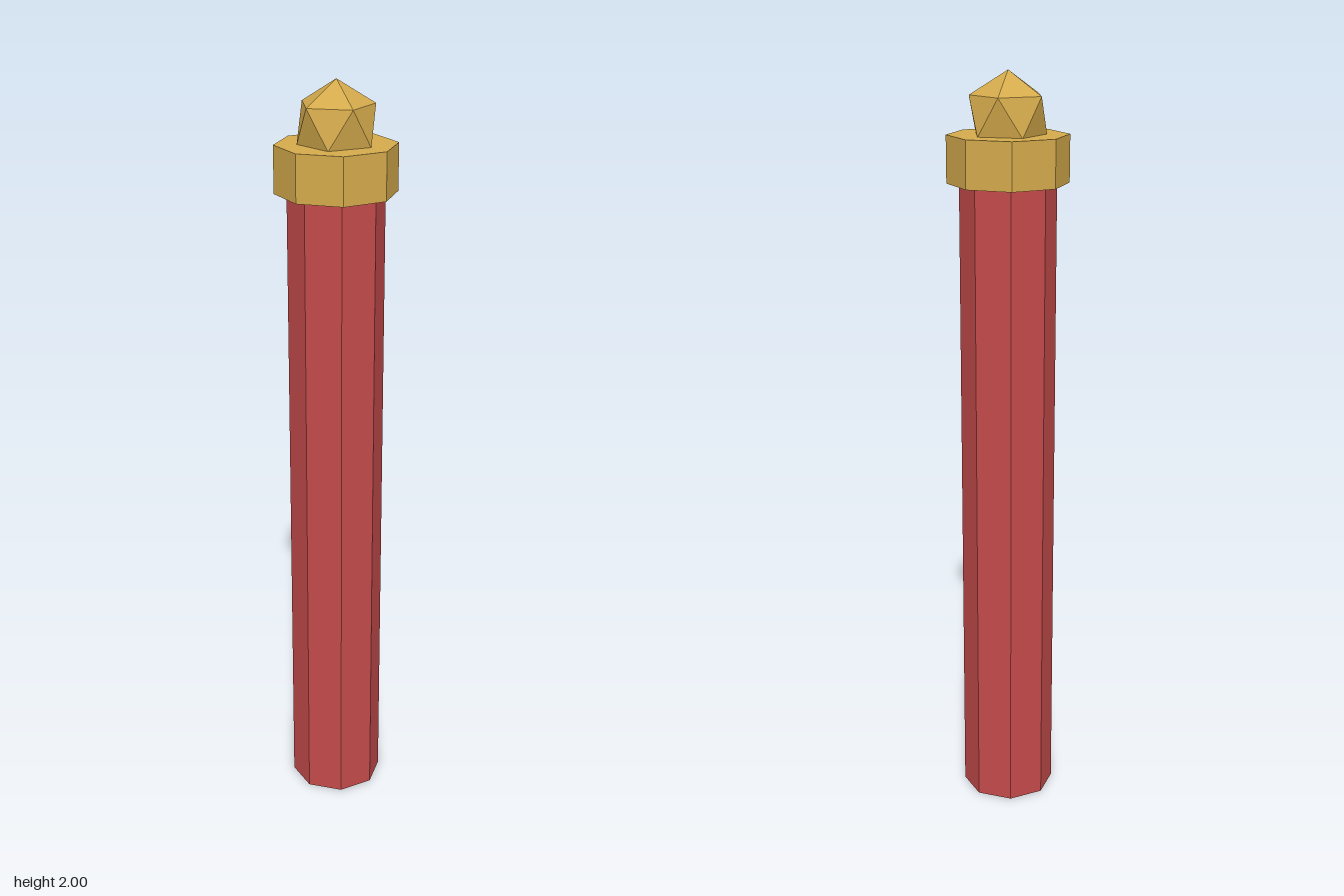
import * as THREE from 'three';

export function createModel() {
  const group = new THREE.Group();
  const red = new THREE.MeshStandardMaterial({ name: 'red paint', color: 0xc44b4b, flatShading: true });
  const gold = new THREE.MeshStandardMaterial({ name: 'gold', color: 0xd4aa4c, flatShading: true });

  const add = (name, geometry, material, y) => {
    const mesh = new THREE.Mesh(geometry, material);
    mesh.name = name;
    mesh.position.y = y;
    group.add(mesh);
  };

  // Octagonal prism standing on height y
  const prism = (name, radius, height, y, material) =>
    add(name, new THREE.CylinderGeometry(radius, radius, height, 8), material, y + height / 2);

  prism('post', 0.125, 1.72, 0, red);
  prism('collar', 0.157, 0.122, 1.72, gold);

  // Faceted knob, turned so one corner points straight up and the next leans to +x
  const knob = new THREE.IcosahedronGeometry(0.11, 0);
  knob.rotateZ(-Math.atan(2 / (1 + Math.sqrt(5))));
  add('finial', knob, gold, 1.89);

  return group;
}
